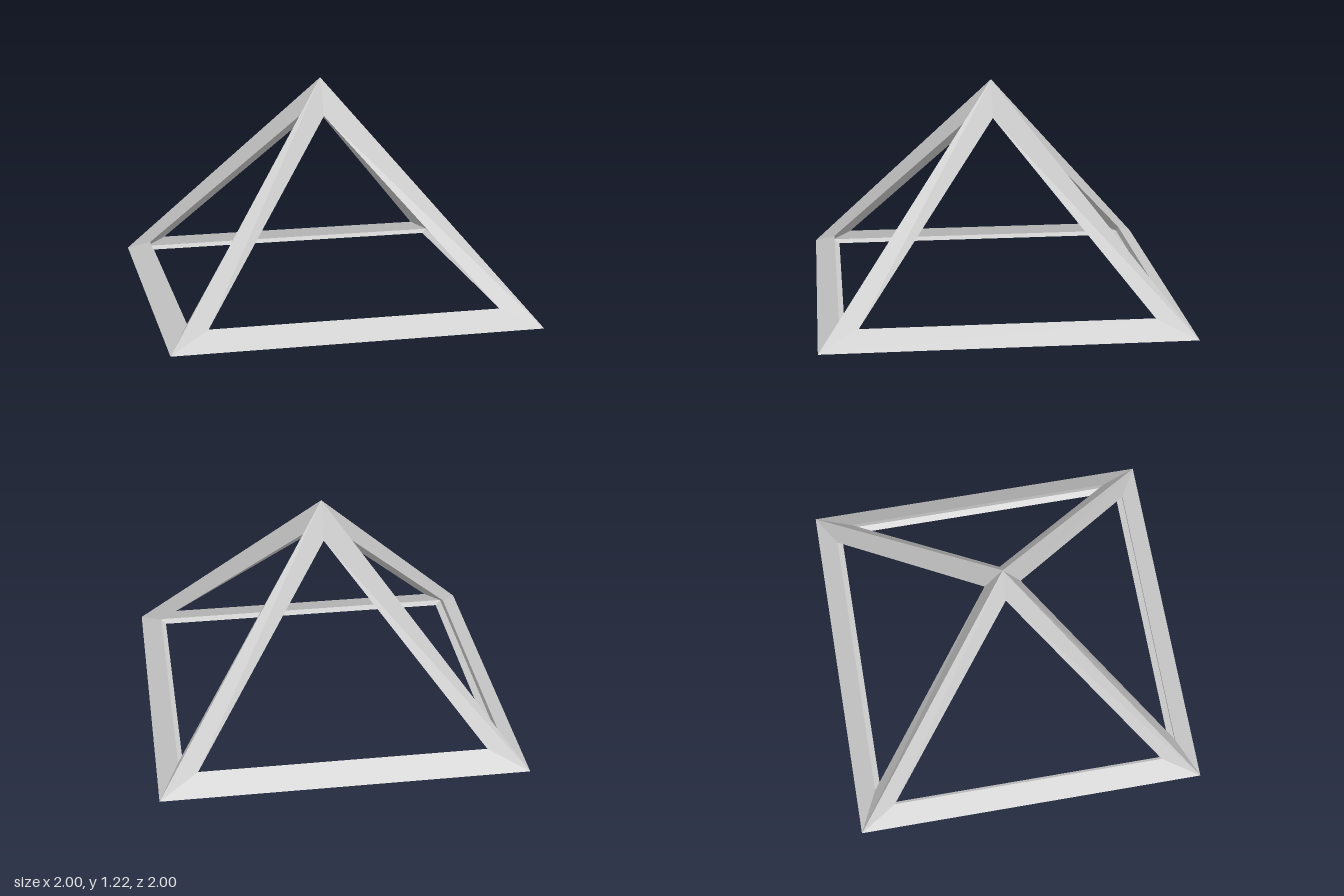
import * as THREE from 'three';

// Four-sided bar lofted between two end sections; flat normals from unshared corners
function barGeometry(start, end) {
  const positions = [];
  for (let i = 0; i < 4; i++) {
    const j = (i + 1) % 4;
    positions.push(...start[i], ...end[i], ...end[j], ...start[i], ...end[j], ...start[j]);
  }
  const geometry = new THREE.BufferGeometry();
  geometry.setAttribute('position', new THREE.Float32BufferAttribute(positions, 3));
  geometry.computeVertexNormals();
  return geometry;
}

const mirrorX = (section) => section.map(([x, y, z]) => [-x, y, z]);

export function createModel() {
  const group = new THREE.Group();
  group.name = 'pyramidFrame';
  const grey = new THREE.MeshStandardMaterial({ color: 0xcccccc });
  grey.name = 'lightGrey';

  // Corner points at the front left of the base
  const outer = [1, 0, 1];
  const frontHole = [0.785, 0.09, 0.885];
  const sideHole = [0.885, 0.09, 0.785];
  const inner = [0.89, 0.036, 0.89];
  const bottomHole = [0.855, 0.02, 0.855];

  // Mitred base bar along the front
  const baseEnd = [outer, frontHole, inner, bottomHole];
  const baseGeometry = barGeometry(mirrorX(baseEnd), baseEnd);

  // Sloping leg from the corner up to the apex
  const legGeometry = barGeometry(
    [outer, frontHole, inner, sideHole],
    [[0, 1.216, 0], [0, 1.016, 0.1], [0, 1.054, 0], [0.1, 1.016, 0]]
  );

  // Repeat both around the four sides
  const sides = ['front', 'left', 'back', 'right'];
  const corners = ['frontLeft', 'backLeft', 'backRight', 'frontRight'];
  for (let k = 0; k < 4; k++) {
    const base = new THREE.Mesh(baseGeometry, grey);
    base.name = sides[k] + 'BaseBar';
    const leg = new THREE.Mesh(legGeometry, grey);
    leg.name = corners[k] + 'Leg';
    base.rotation.y = leg.rotation.y = (k * Math.PI) / 2;
    group.add(base, leg);
  }
  return group;
}
